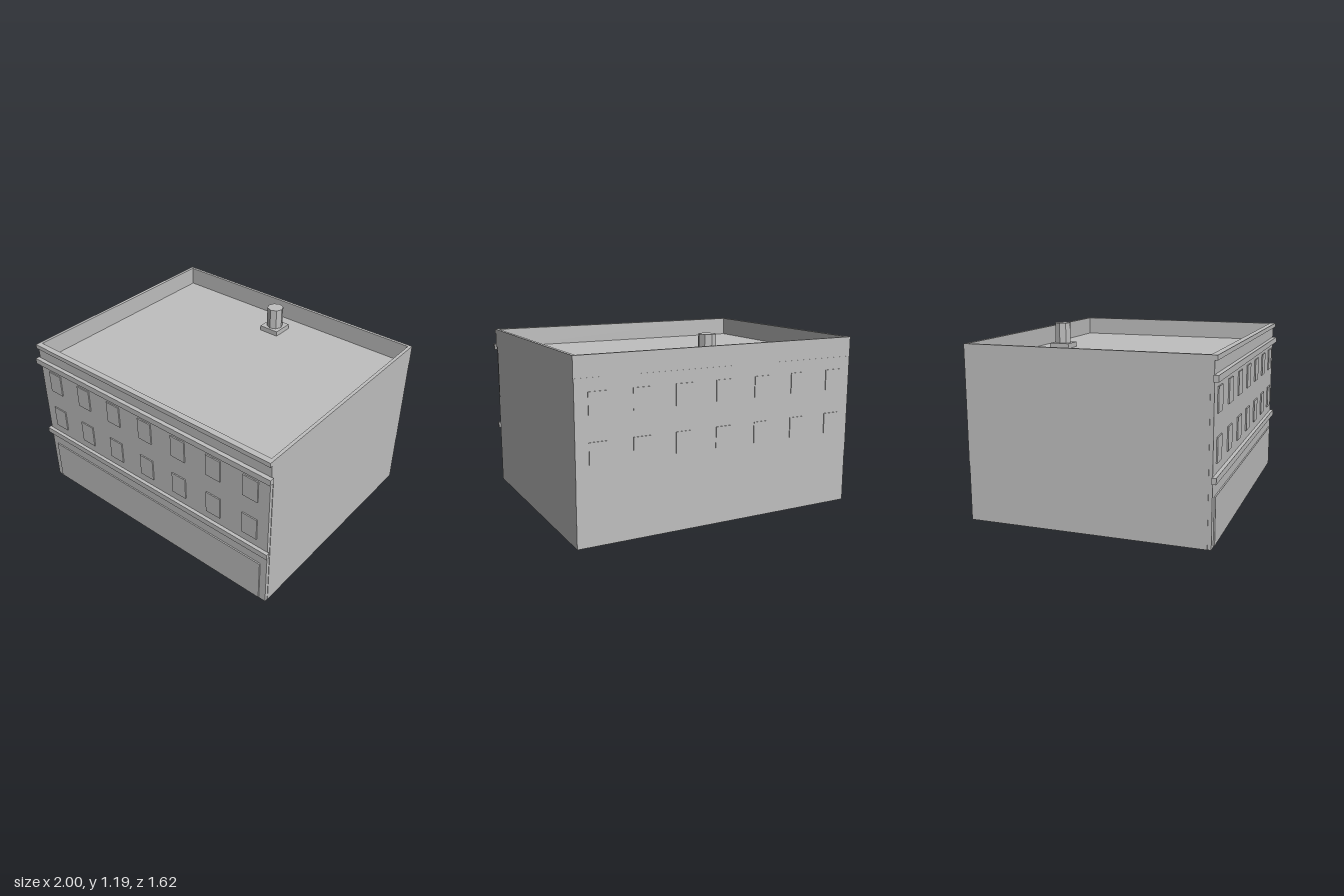
import * as THREE from 'three';

export function createModel() {
  const model = new THREE.Group();
  model.name = 'flatRoofBuilding';
  const grey = new THREE.MeshStandardMaterial({ color: 0xbfbfbf });
  grey.name = 'plain grey';

  // Box given by its extents on each axis
  function box(name, x0, x1, y0, y1, z0, z1, parent = model) {
    const mesh = new THREE.Mesh(new THREE.BoxGeometry(x1 - x0, y1 - y0, z1 - z0), grey);
    mesh.position.set((x0 + x1) / 2, (y0 + y1) / 2, (z0 + z1) / 2);
    mesh.name = name;
    parent.add(mesh);
    return mesh;
  }

  // Main block, with thin front and back walls
  const ROOF = 1.01, TOP = 1.14;
  box('mainBlock', -0.986, 0.986, 0, ROOF, -0.8, 0.757);
  box('frontWall', -0.983, 0.983, 0, ROOF, 0.757, 0.78);
  box('upperBackWall', -0.986, 0.986, 0.36, ROOF, -0.803, -0.8);

  // Parapet around the sunken roof
  const parapet = new THREE.Group();
  parapet.name = 'parapet';
  model.add(parapet);
  for (const s of [-1, 1]) {
    const a = s * 0.966, b = s * 0.988;
    box('sideParapet', Math.min(a, b), Math.max(a, b), ROOF, TOP, -0.802, 0.78, parapet);
  }
  box('backParapet', -0.966, 0.966, ROOF, TOP, -0.802, -0.782, parapet);
  box('frontParapet', -0.966, 0.966, ROOF, TOP, 0.757, 0.78, parapet);
  box('frontCoping', -0.988, 0.988, 1.11, TOP, 0.78, 0.797, parapet);

  // Front ledges that wrap slightly past the corners
  box('lowerLedge', -0.995, 0.995, 0.4, 0.44, 0.777, 0.804);
  box('upperLedge', -1, 1, 0.99, 1.03, 0.777, 0.808);

  // Raised ground-floor panel
  box('shopfrontPanel', -0.935, 0.935, 0.01, 0.31, 0.78, 0.789);

  // Two rows of seven windows, front and back
  const windows = new THREE.Group();
  windows.name = 'windows';
  model.add(windows);
  for (let i = -3; i <= 3; i++) {
    const x = i * 0.282;
    for (const y of [0.5, 0.795]) {
      box('frontWindow', x - 0.056, x + 0.056, y, y + 0.155, 0.78, 0.788, windows);
      box('backWindow', x - 0.056, x + 0.056, y, y + 0.135, -0.808, -0.803, windows);
    }
  }

  // Octagonal chimney on a square plinth
  box('chimneyBase', -0.073, 0.073, ROOF, 1.045, -0.662, -0.516);
  const flueGeometry = new THREE.CylinderGeometry(0.058, 0.058, 0.145, 8).toNonIndexed();
  flueGeometry.computeVertexNormals();
  const flue = new THREE.Mesh(flueGeometry, grey);
  flue.name = 'chimneyFlue';
  flue.position.set(0, 1.1175, -0.589);
  model.add(flue);

  return model;
}
